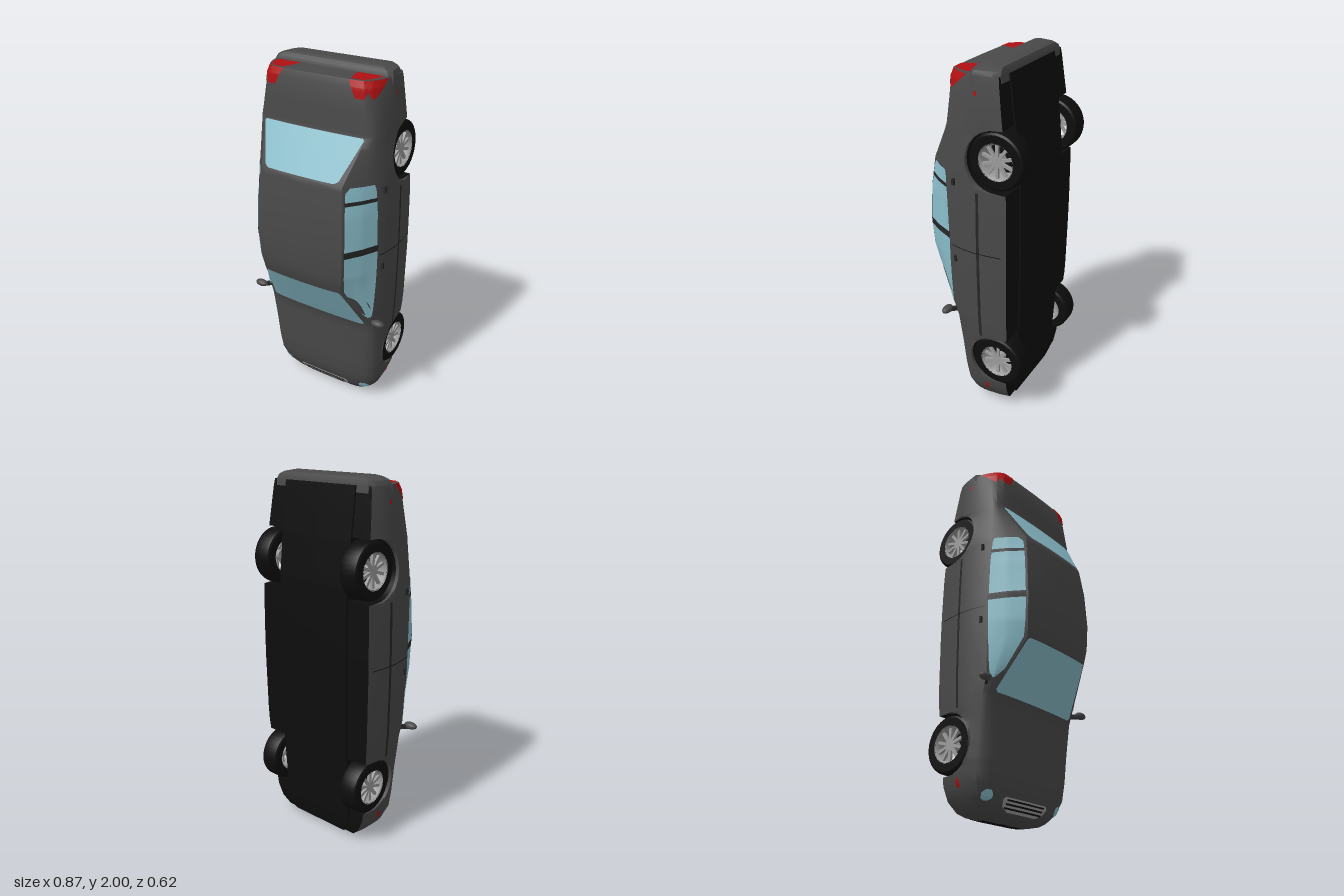
import * as THREE from 'three';
import { toCreasedNormals } from 'three/addons/utils/BufferGeometryUtils.js';

const mat = (name, color, side = THREE.DoubleSide) => {
  const m = new THREE.MeshStandardMaterial({ color, side });
  m.name = name;
  return m;
};
const paint = mat('paint', 0x494949);
const black = mat('black', 0x0d0d0d);
const trim = mat('darkTrim', 0x262626);
const glass = mat('glass', 0x8abecb);
const red = mat('redLens', 0xb01012);
const silver = mat('silver', 0x9c9c9c);

// Car stands on its nose: y runs nose to tail, +z is the roof side.
// y, centre height, roof/hood corner x and z, belt x and z, shoulder width, lower edge z
const stations = [
  [0.003, -0.045, 0.11, -0.045, 0.16, -0.047, 0.18, -0.14],
  [0.012, -0.01, 0.16, -0.014, 0.21, -0.035, 0.23, -0.165],
  [0.03, 0.018, 0.2, 0.012, 0.25, -0.015, 0.268, -0.185],
  [0.08, 0.052, 0.25, 0.042, 0.302, 0.01, 0.317, -0.2],
  [0.15, 0.076, 0.28, 0.063, 0.335, 0.025, 0.347, -0.205],
  [0.25, 0.09, 0.29, 0.077, 0.345, 0.035, 0.362, -0.205],
  [0.4, 0.101, 0.3, 0.087, 0.35, 0.05, 0.37, -0.215],
  [0.575, 0.115, 0.31, 0.101, 0.357, 0.075, 0.386, -0.225],
  [0.66, 0.167, 0.288, 0.152, 0.36, 0.1, 0.39, -0.226],
  [0.86, 0.287, 0.245, 0.272, 0.366, 0.107, 0.393, -0.227],
  [0.95, 0.303, 0.258, 0.288, 0.369, 0.107, 0.395, -0.227],
  [1.1, 0.31, 0.265, 0.296, 0.37, 0.107, 0.395, -0.227],
  [1.3, 0.302, 0.26, 0.287, 0.368, 0.112, 0.393, -0.225],
  [1.46, 0.283, 0.245, 0.268, 0.363, 0.118, 0.388, -0.22],
  [1.69, 0.155, 0.305, 0.142, 0.348, 0.11, 0.37, -0.195],
  [1.8, 0.149, 0.29, 0.138, 0.337, 0.09, 0.362, -0.18],
  [1.92, 0.14, 0.275, 0.13, 0.325, 0.07, 0.352, -0.165],
  [1.955, 0.126, 0.268, 0.116, 0.318, 0.05, 0.346, -0.16],
];
const wheelYs = [0.355, 1.55], wheelZ = -0.157, archR = 0.158;

function station(y) {
  let i = 0;
  while (i < stations.length - 2 && stations[i + 1][0] < y) i++;
  const a = stations[i], b = stations[i + 1];
  const t = THREE.MathUtils.clamp((y - a[0]) / (b[0] - a[0]), 0, 1);
  return a.map((v, k) => v + (b[k] - v) * t);
}

// Half cross-section [x, z]: outer skin from centre line to sill, then the underside
function section(y) {
  const [, T, C, K, B, Bz, W, low] = station(y);
  const d = T - K;
  let L = low;
  for (const c of wheelYs) {
    const q = archR ** 2 - (y - c) ** 2;
    if (q > 0) L = Math.max(L, wheelZ + Math.sqrt(q));
  }
  const skin = [[0, T], [C * 0.5, T - d * 0.15], [C * 0.85, T - d * 0.55], [C, K],
    [(C + B) / 2 + 0.006, (K + Bz) / 2 + 0.004], [B, Bz],
    [B + (W - B) * 0.7, (Bz - 0.05) / 2], [W, -0.05], [W - 0.005, -0.12], [W - 0.02, low],
  ].map(([x, z]) => [x, Math.max(z, L)]);
  const inner = Math.min(0.235, W * 0.7), end = skin[skin.length - 1];
  const under = [end, [inner, L], [inner, low - 0.01], [0, low - 0.01]];
  return { skin, under };
}

// Grid surface through rows of [x, y, z]
function surface(rows, crease = 0.5) {
  const n = rows[0].length, index = [];
  for (let i = 0; i < rows.length - 1; i++)
    for (let j = 0; j < n - 1; j++) {
      const a = i * n + j, c = a + n;
      index.push(a, a + 1, c, a + 1, c + 1, c);
    }
  const g = new THREE.BufferGeometry();
  g.setAttribute('position', new THREE.Float32BufferAttribute(rows.flat(2), 3));
  g.setIndex(index);
  return toCreasedNormals(g, crease);
}

const lerpAt = (pts, key, v) => {
  // Interpolates the other coordinate of a polyline where coordinate "key" equals v
  for (let i = 0; i < pts.length - 1; i++) {
    const a = pts[i], b = pts[i + 1], p = a[key], q = b[key];
    if ((v - p) * (v - q) <= 0 && p !== q) return a[1 - key] + (b[1 - key] - a[1 - key]) * (v - p) / (q - p);
  }
  return pts[pts.length - 1][1 - key];
};
const LIFT = 0.004;
const onTop = (y, x) => [x, y, lerpAt(section(y).skin.slice(0, 8), 0, Math.abs(x)) + LIFT];
const onSide = s => (y, z) => [s * (lerpAt(section(y).skin.slice(3), 1, z) + LIFT), y, z];

// Thin skin plate: rows of [y, from, to], laid on the body by "place"
function plate(rows, place, across = 12) {
  const out = [];
  rows.forEach((r, i) => {
    const next = rows[i + 1], steps = next ? 6 : 1;
    for (let k = 0; k < steps; k++) {
      const [y, a, b] = next ? r.map((v, m) => v + (next[m] - v) * k / steps) : r;
      out.push(Array.from({ length: across + 1 }, (_, j) => place(y, a + (b - a) * j / across)));
    }
  });
  return surface(out);
}

function makeWheel() {
  const g = new THREE.Group();
  const lathe = (name, pts, m) => {
    const geo = new THREE.LatheGeometry(pts.map(p => new THREE.Vector2(...p)), 40);
    const o = new THREE.Mesh(toCreasedNormals(geo, 0.6), m);
    o.name = name;
    g.add(o);
  };
  lathe('tyre', [[0.094, -0.054], [0.138, -0.055], [0.148, -0.048], [0.152, -0.036],
    [0.152, 0.036], [0.148, 0.048], [0.138, 0.055], [0.094, 0.054]], black);
  lathe('rimBarrel', [[0.096, -0.054], [0.086, -0.045], [0.083, 0.02], [0.088, 0.046], [0.097, 0.056]], silver);
  const hub = new THREE.Mesh(new THREE.CylinderGeometry(0.022, 0.027, 0.05, 20), silver);
  hub.name = 'hub';
  hub.position.y = 0.018;
  g.add(hub);
  for (let i = 0; i < 10; i++) {
    const arm = new THREE.Group();
    const spoke = new THREE.Mesh(new THREE.BoxGeometry(0.07, 0.014, 0.016), silver);
    spoke.name = 'spoke';
    spoke.position.set(0.053, 0.036, 0);
    arm.rotation.y = i * Math.PI / 5;
    arm.add(spoke);
    g.add(arm);
  }
  return g;
}

export function createModel() {
  const car = new THREE.Group();
  car.name = 'car';
  const add = (name, geo, m, x = 0, y = 0, z = 0) => {
    const o = new THREE.Mesh(geo, m);
    o.name = name;
    o.position.set(x, y, z);
    car.add(o);
    return o;
  };

  // Body shell and underside, with extra sections around the wheel arches
  const ys = stations.map(s => s[0]);
  for (const c of wheelYs) {
    for (let i = 0; i <= 16; i++) ys.push(c - archR * 0.999 * Math.cos(i * Math.PI / 16));
    ys.push(c - archR - 0.0005, c + archR + 0.0005);
  }
  ys.sort((a, b) => a - b);
  const skinRows = [], underRows = [];
  for (const y of ys) {
    const { skin, under } = section(y);
    const left = ([x, z]) => [x, y, z], right = ([x, z]) => [-x, y, z];
    skinRows.push([...skin.slice(1).reverse().map(right), ...skin.map(left)]);
    underRows.push([...under.map(left), ...under.slice(0, -1).reverse().map(right)]);
  }
  for (const rows of [skinRows, underRows]) {
    rows.unshift(rows[0].map(() => [0, 0, -0.09]));
    rows.push(rows[0].map(() => [0, 1.955, -0.02]));
  }
  add('bodyShell', surface(skinRows), paint);
  add('underside', surface(underRows), black);

  // Rear bumper: rounded sections closing toward the tail
  const bumperRows = [[1.9, 0.35, 0, -0.166], [1.955, 0.349, -0.005, -0.163], [1.978, 0.338, -0.015, -0.158],
    [1.992, 0.31, -0.026, -0.152], [2, 0.27, -0.04, -0.12]].map(([y, w, t, b]) =>
    [[-w + 0.02, t], [w - 0.02, t], [w, t - 0.02], [w - 0.015, b + 0.03], [w - 0.04, b],
      [-w + 0.04, b], [-w + 0.015, b + 0.03], [-w, t - 0.02], [-w + 0.02, t]].map(([x, z]) => [x, y, z]));
  bumperRows.push(bumperRows[0].map(() => [0, 2, -0.08]));
  add('rearBumper', surface(bumperRows), paint);

  // Front and rear screens
  const mid = rows => rows.map(([y, w]) => [y, -w, w]);
  add('windscreen', plate(mid([[0.585, 0.29], [0.597, 0.305], [0.845, 0.241], [0.857, 0.23]]), onTop, 20), glass);
  add('rearWindow', plate(mid([[1.472, 0.2], [1.485, 0.222], [1.675, 0.297], [1.686, 0.29]]), onTop, 20), glass);

  // Grille and its slats
  add('grille', plate(mid([[0.03, 0.11], [0.05, 0.155], [0.08, 0.17], [0.095, 0.155]]), onTop), silver);
  for (const y of [0.042, 0.06, 0.078]) {
    const slat = add('grilleSlat', plate(mid([[y, 0.14], [y + 0.008, 0.145]]), onTop), black);
    slat.position.z = 0.002;
  }
  add('lowerIntake', new THREE.BoxGeometry(0.3, 0.01, 0.035), black, 0, 0.006, -0.118);

  for (const s of [1, -1]) {
    const side = onSide(s), top = (y, x) => onTop(y, s * x);

    // Side glass and pillars
    add('frontSideWindow', plate([[0.65, 0.115, 0.128], [0.7, 0.113, 0.168], [0.86, 0.113, 0.26],
      [0.95, 0.113, 0.279], [1.075, 0.113, 0.287]], side), glass);
    add('rearSideWindow', plate([[1.112, 0.115, 0.287], [1.3, 0.12, 0.279], [1.362, 0.124, 0.271]], side), glass);
    add('quarterWindow', plate([[1.382, 0.125, 0.269], [1.43, 0.128, 0.261], [1.455, 0.136, 0.24]], side), glass);
    add('centrePillar', plate([[1.075, 0.11, 0.29], [1.112, 0.11, 0.29]], side), trim);
    add('rearPillar', plate([[1.362, 0.122, 0.272], [1.382, 0.122, 0.269]], side), trim);

    // Door details
    add('doorSeam', plate([[1.042, -0.2, 0.1], [1.046, -0.2, 0.1]], side), black);
    add('sideMoulding', plate([[0.52, -0.082, -0.066], [1.385, -0.08, -0.064]], side, 2), trim);
    for (const y of [0.97, 1.41])
      add('doorHandle', new THREE.BoxGeometry(0.016, 0.034, 0.014), trim, s * 0.379, y, 0.072);

    // Lamps
    add('headlight', plate([[0.064, 0.257, 0.278], [0.075, 0.242, 0.294], [0.095, 0.243, 0.301],
      [0.112, 0.258, 0.288]], top), glass);
    add('frontMarker', plate([[0.13, -0.1, -0.075], [0.172, -0.1, -0.08]], side, 2), red);
    add('rearMarker', plate([[1.865, -0.058, -0.042], [1.885, -0.058, -0.042]], side, 2), red);
    add('tailLightTop', plate([[1.872, 0.235, 0.282], [1.92, 0.21, 0.3], [1.955, 0.19, 0.308]], top), red);
    add('tailLightSide', plate([[1.872, 0.1, 0.112], [1.92, 0.045, 0.125], [1.955, 0.005, 0.112]], side), red);
    const lens = new THREE.Shape([[0.312, 0.003], [0.168, 0.003], [0.18, 0.07], [0.2, 0.118], [0.262, 0.116],
      [0.3, 0.07]].map(([x, z]) => new THREE.Vector2(s * x, z)));
    add('tailLight', new THREE.ShapeGeometry(lens).rotateX(Math.PI / 2), red, 0, 1.959, 0);

    // Door mirror
    add('mirrorHead', new THREE.SphereGeometry(1, 20, 14).scale(0.04, 0.02, 0.024), paint, s * 0.396, 0.635, 0.13);
    const arm = add('mirrorArm', new THREE.BoxGeometry(0.05, 0.025, 0.014), trim, s * 0.367, 0.628, 0.108);
    arm.rotation.y = -s * 0.8;

    // Wheels
    for (const y of wheelYs) {
      const wheel = makeWheel();
      wheel.name = y < 1 ? 'frontWheel' : 'rearWheel';
      wheel.position.set(s * 0.3, y, wheelZ);
      wheel.rotation.z = -s * Math.PI / 2;
      car.add(wheel);
    }
  }
  return car;
}
